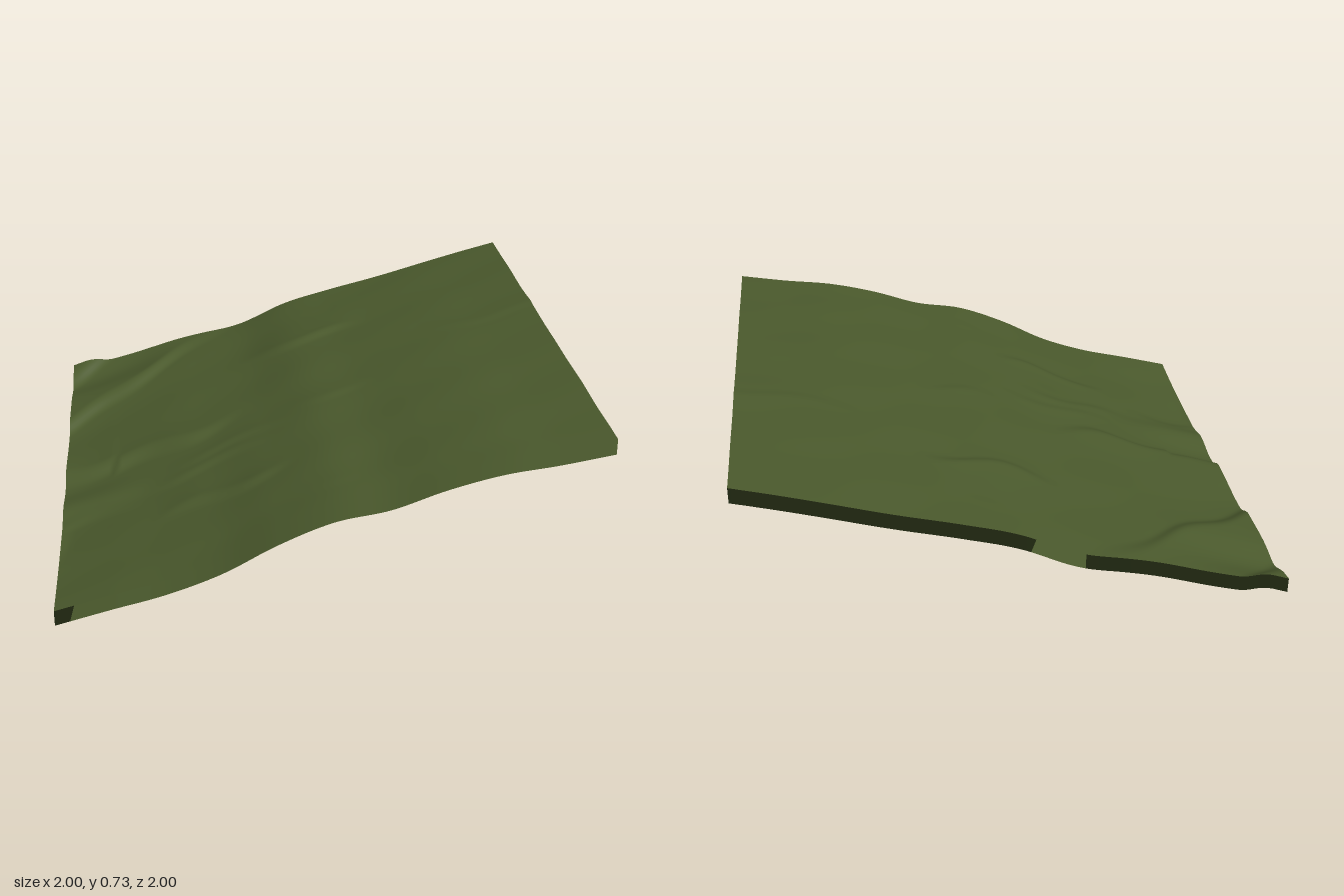
import * as THREE from 'three';

const THICK = 0.06, N = 110;

// Smooth curve y(u) through sorted [u, y] points
function profile(points) {
  return (u) => {
    let i = 0;
    while (i < points.length - 2 && u > points[i + 1][0]) i++;
    const at = (k) => points[Math.min(Math.max(k, 0), points.length - 1)];
    const slope = (k) => (at(k + 1)[1] - at(k - 1)[1]) / (at(k + 1)[0] - at(k - 1)[0]);
    const [u0, y0] = at(i), [u1, y1] = at(i + 1), d = u1 - u0;
    const t = Math.min(Math.max((u - u0) / d, 0), 1), t2 = t * t, t3 = t2 * t;
    return (2 * t3 - 3 * t2 + 1) * y0 + (t3 - 2 * t2 + t) * d * slope(i)
      + (3 * t2 - 2 * t3) * y1 + (t3 - t2) * d * slope(i + 1);
  };
}

// Underside height along the front edge, and the rise towards the back edge
const front = profile([[-1, 0.015], [-0.8, 0.067], [-0.6, 0.117], [-0.4, 0.19], [-0.2, 0.295],
  [0, 0.375], [0.2, 0.412], [0.4, 0.48], [0.6, 0.53], [0.8, 0.557], [1, 0.59]]);
const rise = profile([[-1, 0.1], [-0.8, 0.088], [-0.6, 0.085], [-0.4, 0.065], [-0.2, 0.015],
  [0, 0.025], [0.2, 0.045], [0.4, 0.03], [0.6, 0.035], [0.8, 0.06], [1, 0.08]]);
// Sag along the low side, by z
const sag = profile([[-1, -0.015], [-0.87, -0.045], [-0.7, -0.025], [-0.5, -0.038], [-0.35, -0.045],
  [-0.1, -0.04], [0.1, -0.05], [0.25, -0.03], [0.36, -0.05], [0.7, -0.03], [1, 0]]);

const smooth = THREE.MathUtils.smoothstep;

// Bank: steep face at s = 0, fading away uphill
const bank = (s, height, width, fade) => height * smooth(s, -width, width) * Math.exp(-Math.max(s, 0) / fade);
// Short folds across the slope: x range, z, height
const folds = [
  [-0.25, 0.35, -0.51, 0.018], [0, 0.2, -0.8, 0.01], [-0.65, -0.08, 0.56, 0.019],
  [-1.2, -0.65, 0.38, 0.012], [-0.7, -0.15, 0.3, 0.012], [-0.6, -0.05, 0.2, 0.01],
  [0.5, 1.2, -0.22, 0.006], [-0.1, 0.3, 0.1, 0.008], [-0.1, 0.15, 0.8, 0.007],
];

function ground(x, z) {
  let y = front(x) + rise(x) * (1 - z) / 2;
  y += sag(z) * (1 - smooth(x, -1, -0.45));
  // diagonal bank, middle bank and corner bank
  const diagonal = -0.48 - 0.8 * (x + 0.95) + 0.02 * Math.sin(x * 16);
  y += bank((diagonal - z) / 1.28, 0.034, 0.045, 0.25) * (1 - 0.9 * smooth(x, -0.65, -0.25));
  const bend = 0.02 * Math.sin(x * 14 + 1.5) + 0.03 * smooth(x, -0.8, -1) - 0.07 * smooth(x, -0.5, -0.2);
  y += bank(bend - z, 0.034, 0.05, 0.2) * (1 - smooth(x, -0.6, -0.2));
  y += bank((-1.88 - x - z) / 1.4, 0.035, 0.05, 0.15);
  for (const [x0, x1, z0, h] of folds) {
    const window = smooth(x, x0, x0 + 0.2) * (1 - smooth(x, x1 - 0.2, x1));
    y += bank(z0 + 0.025 * Math.sin(x * 13 + z0 * 9) - z, h, 0.035, 0.09) * window;
  }
  // fine unevenness, fading at the front edge
  y += 0.0025 * Math.sin(9 * x + 3 * z) * Math.sin(13 * z - 2 * x) * smooth(1 - z, 0, 0.2);
  return Math.max(y, 0);
}

// Upward normal of the ground
function groundNormal(x, z) {
  const e = 0.01;
  return new THREE.Vector3(ground(x - e, z) - ground(x + e, z), 2 * e, ground(x, z - e) - ground(x, z + e)).normalize();
}

// Grid surface following the ground; facing up or down
function sheet(lift, down) {
  const geo = new THREE.PlaneGeometry(2, 2, N, N).rotateX(-Math.PI / 2);
  const p = geo.attributes.position;
  for (let i = 0; i < p.count; i++) p.setY(i, ground(p.getX(i), p.getZ(i)) + lift);
  if (down) geo.index.array.reverse();
  geo.computeVertexNormals();
  return geo;
}

// Vertical strip along one edge from corner a to corner b, shaded as part of the ground
function wall([ax, az], [bx, bz]) {
  const geo = new THREE.PlaneGeometry(1, 1, N, 1);
  const p = geo.attributes.position;
  for (let i = 0; i < p.count; i++) {
    const t = p.getX(i) + 0.5, x = ax + (bx - ax) * t, z = az + (bz - az) * t;
    p.setXYZ(i, x, ground(x, z) + (p.getY(i) > 0 ? THICK : 0), z);
    geo.attributes.normal.setXYZ(i, ...groundNormal(x, z));
  }
  return geo;
}

export function createModel() {
  const group = new THREE.Group();
  group.name = 'hillside';
  const grass = new THREE.MeshStandardMaterial({ color: 0x4b5a2d });
  grass.name = 'grass green';
  const add = (name, geo) => {
    const mesh = new THREE.Mesh(geo, grass);
    mesh.name = name;
    group.add(mesh);
  };

  add('groundSurface', sheet(THICK, false));
  add('underside', sheet(0, true));

  // edge walls, anticlockwise seen from above
  add('frontWall', wall([-1, 1], [1, 1]));
  add('leftHighWall', wall([1, 1], [1, -1]));
  add('backWall', wall([1, -1], [-1, -1]));
  add('rightLowWall', wall([-1, -1], [-1, 1]));
  return group;
}
